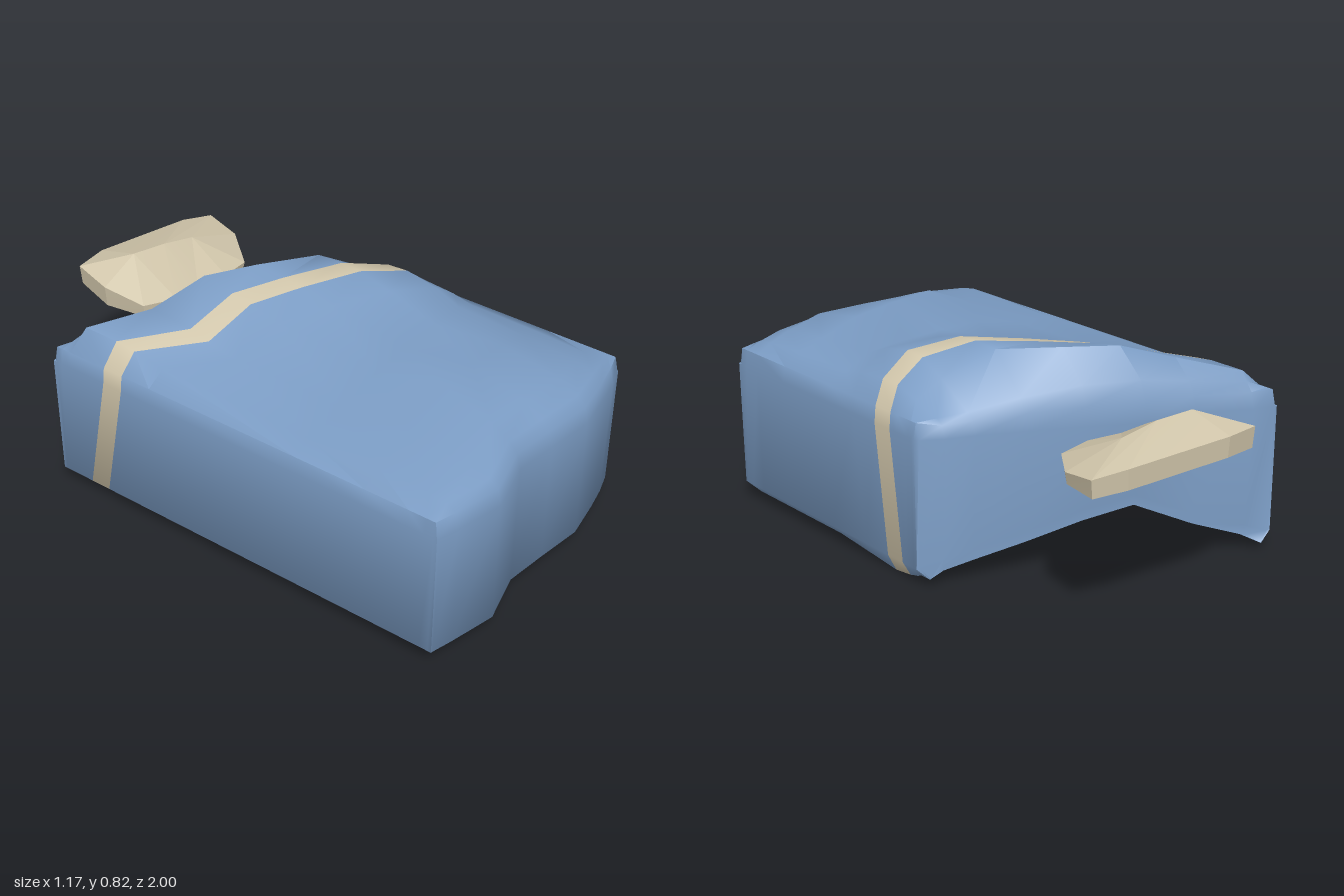
import * as THREE from 'three';
import { toCreasedNormals } from 'three/addons/utils/BufferGeometryUtils.js';

const blue = new THREE.MeshStandardMaterial({ color: 0x7b9cc4, side: THREE.DoubleSide });
blue.name = 'blanketBlue';
const beige = new THREE.MeshStandardMaterial({ color: 0xd0c5aa, side: THREE.DoubleSide });
beige.name = 'beige';

// Gathers points and faces, sorted into one index list per colour
function builder() {
  const pos = [], lists = [[], []];
  return {
    point: (x, y, z) => pos.push(x, y, z) / 3 - 1,
    quad: (a, b, c, d, colour = 0) => lists[colour].push(a, b, c, a, c, d),
    tri: (a, b, c) => lists[0].push(a, b, c),
    geometry() {
      const g = new THREE.BufferGeometry();
      g.setAttribute('position', new THREE.Float32BufferAttribute(pos, 3));
      g.setIndex([...lists[0], ...lists[1]]);
      g.addGroup(0, lists[0].length, 0);
      if (lists[1].length) g.addGroup(lists[0].length, lists[1].length, 1);
      return g;
    },
  };
}

// Draped cover: columns across x, rows from the front rim to the slanted back rim
const X = [-0.59, -0.58, -0.5, -0.32, -0.12, 0.05, 0.24, 0.4, 0.5, 0.575, 0.585];
const LAST = X.length - 1;
const frontZ = [0.93, 0.932, 0.955, 1, 0.95, 0.972, 1, 0.975, 0.955, 0.933, 0.93];
const backZ = [-0.74, -0.74, -0.71, -0.6, -0.555, -0.44, -0.33, -0.24, -0.195, -0.145, -0.13];
const stripeZ = [-0.455, -0.456, -0.462, -0.268, -0.237, -0.135, -0.012, 0.085, 0.1, 0.05, 0.045];
const creaseZ = [-0.66, -0.66, -0.65, -0.49, -0.41, -0.3, -0.16, -0.06, -0.04, -0.03, -0.03];
const shift = (list, d) => list.map((z) => z + d);
const level = (z) => X.map(() => z);
const flat = (y) => Array(7).fill(y);

// Each row: z per column, then heights of the seven inner columns
const rows = [
  { z: frontZ, y: flat(0.56) },
  { z: shift(frontZ, -0.015), y: flat(0.62) },
  { z: shift(frontZ, -0.05), y: [0.64, 0.65, 0.655, 0.655, 0.655, 0.65, 0.635] },
  { z: shift(frontZ, -0.12), y: [0.65, 0.66, 0.7, 0.7, 0.695, 0.67, 0.645] },
  { z: level(0.64), y: [0.655, 0.685, 0.77, 0.76, 0.74, 0.69, 0.655] },
  { z: level(0.36), y: [0.645, 0.665, 0.71, 0.715, 0.715, 0.705, 0.66] },
  { z: shift(stripeZ, 0.17), y: [0.655, 0.68, 0.74, 0.765, 0.78, 0.75, 0.68] },
  { z: shift(stripeZ, 0.042), y: [0.68, 0.705, 0.77, 0.795, 0.815, 0.775, 0.69] },
  { z: shift(stripeZ, -0.042), y: [0.69, 0.725, 0.785, 0.805, 0.82, 0.77, 0.69] },
  { z: creaseZ, y: [0.69, 0.74, 0.81, 0.815, 0.815, 0.72, 0.66] },
  { z: shift(backZ, 0.04), y: [0.655, 0.67, 0.71, 0.7, 0.67, 0.635, 0.625] },
  { z: shift(backZ, 0.015), y: [0.62, 0.62, 0.63, 0.63, 0.62, 0.61, 0.605] },
  { z: backZ, y: flat(0.56) },
];
const STRIPE = 7, END = rows.length - 1;

const backHem = [0.03, 0.03, 0.06, 0.13, 0.23, 0.19, 0.13, 0.085, 0.055, 0.035, 0.03];
const rightDip = { 6: 0.012, 7: 0, 8: 0.01, 9: 0.015, 10: 0.02 };

function heightAt(i, j) {
  if (i === 0 || i === LAST || j === 0 || j === END) return 0.56;
  if (i === 1 || i === LAST - 1) return 0.62;
  return rows[j].y[i - 2];
}

// Slant of the stripe down the side walls
function wallShift(i, j) {
  if (j < 6 || j > 9) return 0;
  if (i === LAST) return j === 9 ? -0.04 : -0.055;
  return i === 0 ? (j === 9 ? -0.03 : -0.1) : 0;
}

function coverGeometry() {
  const b = builder();
  // Top sheet with rounded rim
  const top = rows.map((row, j) => X.map((x, i) => b.point(x, heightAt(i, j), row.z[i])));
  for (let j = 0; j < END; j++) {
    for (let i = 0; i < LAST; i++) {
      b.quad(top[j][i], top[j][i + 1], top[j + 1][i + 1], top[j + 1][i], j === STRIPE ? 1 : 0);
    }
  }
  // Walk round the rim and hang the walls from it, with a hem curled inwards
  const rim = [];
  for (let i = 0; i < LAST; i++) rim.push([i, 0]);
  for (let j = 0; j < END; j++) rim.push([LAST, j]);
  for (let i = LAST; i > 0; i--) rim.push([i, END]);
  for (let j = END; j > 0; j--) rim.push([0, j]);
  const hang = rim.map(([i, j]) => {
    const x = X[i];
    const slant = THREE.MathUtils.mapLinear(x, X[0], X[LAST], -0.74, -0.13);
    const z = j === END ? slant : rows[j].z[i] + wallShift(i, j);
    let hemY = 0.03;
    if (i === LAST) hemY = rightDip[j] ?? 0.03;
    if (j === END) hemY = backHem[i];
    const kneeY = j === END ? hemY + 0.04 : 0.07;
    const hemX = THREE.MathUtils.clamp(x, -0.545, 0.55);
    const hemZ = Math.min(z, frontZ[i] - 0.05) - (j === END && i > 8 ? 0.03 : 0);
    return [top[j][i], b.point(x, kneeY, z), b.point(hemX, hemY, hemZ)];
  });
  hang.forEach((now, k) => {
    const n = (k + 1) % hang.length, next = hang[n];
    const [i0, j0] = rim[k], [i1, j1] = rim[n];
    const painted = i0 === i1 && Math.min(j0, j1) === STRIPE ? 1 : 0;
    for (let s = 0; s < 2; s++) b.quad(now[s + 1], next[s + 1], next[s], now[s], painted);
  });
  return toCreasedNormals(b.geometry(), 1);
}

// Faceted cushion: flat base, slanted rim and a ridge along its length
function cushionGeometry() {
  const b = builder();
  const outline = [
    [-0.2, -0.84], [-0.175, -0.67], [-0.05, -0.615], [0.08, -0.62], [0.2, -0.58], [0.33, -0.59],
    [0.455, -0.74], [0.48, -0.885], [0.36, -0.93], [-0.04, -1], [-0.175, -0.99],
  ];
  const cx = 0.1, cz = -0.81;
  const base = outline.map(([x, z]) => b.point(
    cx + (x - cx) * 0.98, 0.555 + Math.max(0, -0.9 - z) * 0.35, cz + (z - cz) * 0.98));
  const rim = outline.map(([x, z]) => b.point(
    x, 0.59 + (-0.58 - z) * 0.18 - Math.max(0, x - 0.2) * 0.08, z));
  const ridge = [[-0.04, 0.712, -0.83], [0.1, 0.7, -0.8], [0.24, 0.67, -0.78]].map((p) => b.point(...p));
  // Ridge point above each outline point
  const above = [0, 0, 0, 1, 2, 2, 2, 2, 1, 0, 0].map((m) => ridge[m]);
  const middle = b.point(cx, 0.555, cz);
  outline.forEach((_, k) => {
    const n = (k + 1) % outline.length;
    b.tri(base[n], base[k], middle);
    b.quad(base[k], base[n], rim[n], rim[k]);
    b.tri(rim[k], rim[n], above[n]);
    if (above[k] !== above[n]) b.tri(rim[k], above[n], above[k]);
  });
  return toCreasedNormals(b.geometry(), 0.1);
}

export function createModel() {
  const group = new THREE.Group();
  group.name = 'bedding';
  const cover = new THREE.Mesh(coverGeometry(), [blue, beige]);
  cover.name = 'stripedBlanket';
  const cushion = new THREE.Mesh(cushionGeometry(), beige);
  cushion.name = 'pillow';
  group.add(cover, cushion);
  return group;
}
